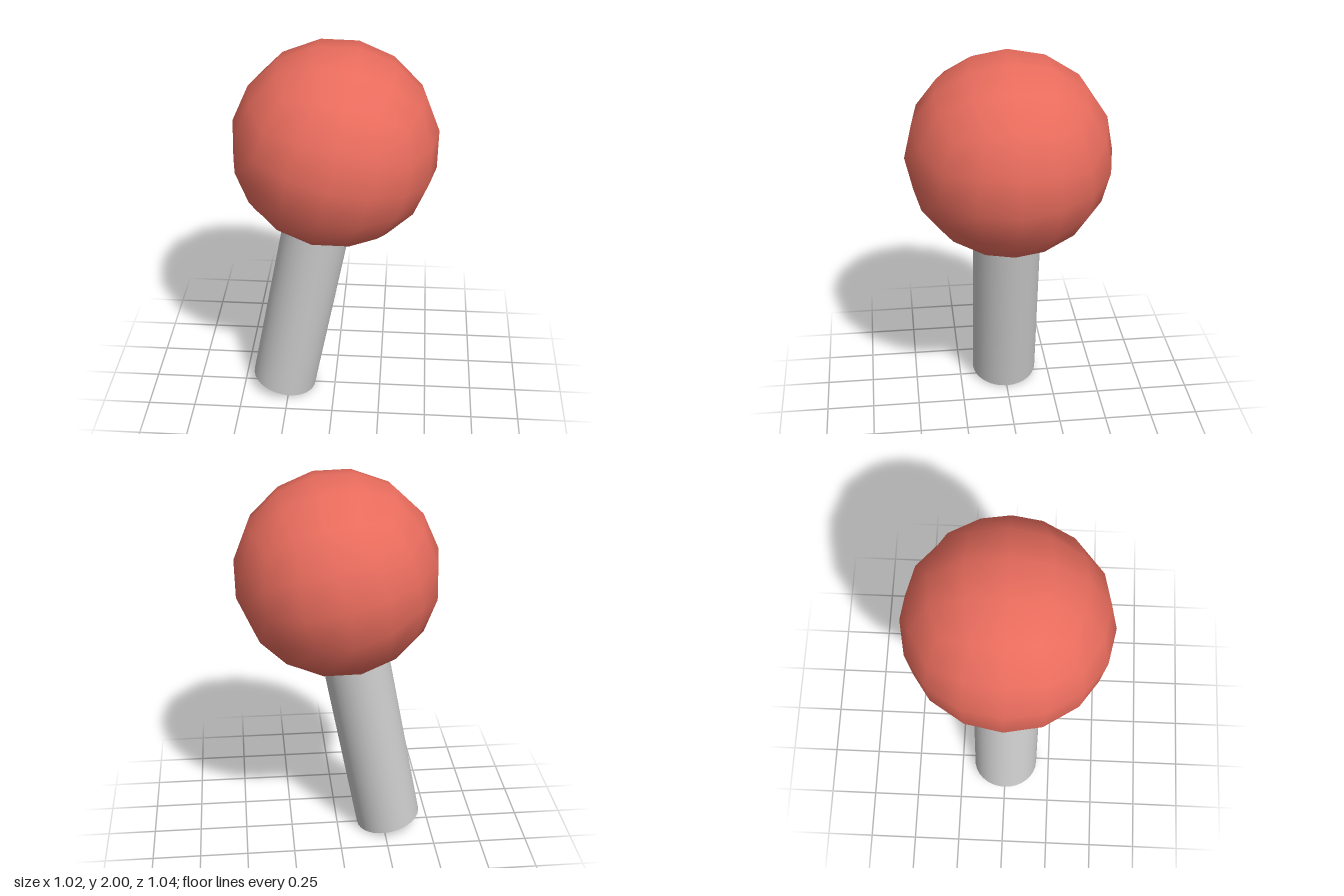
import * as THREE from 'three';

// Evenly divided cube rounded into a ball with smooth radial normals
function cubeSphere(radius, divisions) {
  const geometry = new THREE.BoxGeometry(2, 2, 2, divisions, divisions, divisions);
  const position = geometry.attributes.position;
  const normal = geometry.attributes.normal;
  const v = new THREE.Vector3();
  const bend = (t) => Math.tan((t * Math.PI) / 4);
  for (let i = 0; i < position.count; i++) {
    v.fromBufferAttribute(position, i);
    v.set(bend(v.x), bend(v.y), bend(v.z)).normalize();
    normal.setXYZ(i, v.x, v.y, v.z);
    position.setXYZ(i, v.x * radius, v.y * radius, v.z * radius);
  }
  return geometry;
}

export function createModel() {
  const group = new THREE.Group();
  group.name = 'ballOnHandle';

  // Ball
  const ball = new THREE.Mesh(
    cubeSphere(0.52, 4),
    new THREE.MeshStandardMaterial({ color: 0xe86c5d })
  );
  ball.name = 'ball';
  ball.position.set(0, 1.486, 0);
  ball.rotation.z = THREE.MathUtils.degToRad(-12.6);
  group.add(ball);

  // Leaning, slightly skewed handle running up into the ball
  const shaft = new THREE.CylinderGeometry(0.1775, 0.1775, 1.15, 32);
  shaft.translate(0, 0.575, 0);
  shaft.applyMatrix4(new THREE.Matrix4().makeBasis(
    new THREE.Vector3(0.955, -0.214, 0),
    new THREE.Vector3(0.19, 1, 0),
    new THREE.Vector3(0, 0, 1)
  ));
  const handle = new THREE.Mesh(shaft, new THREE.MeshStandardMaterial({ color: 0xcccccc }));
  handle.name = 'handle';
  handle.position.set(-0.28, 0.04, 0);
  group.add(handle);

  return group;
}
